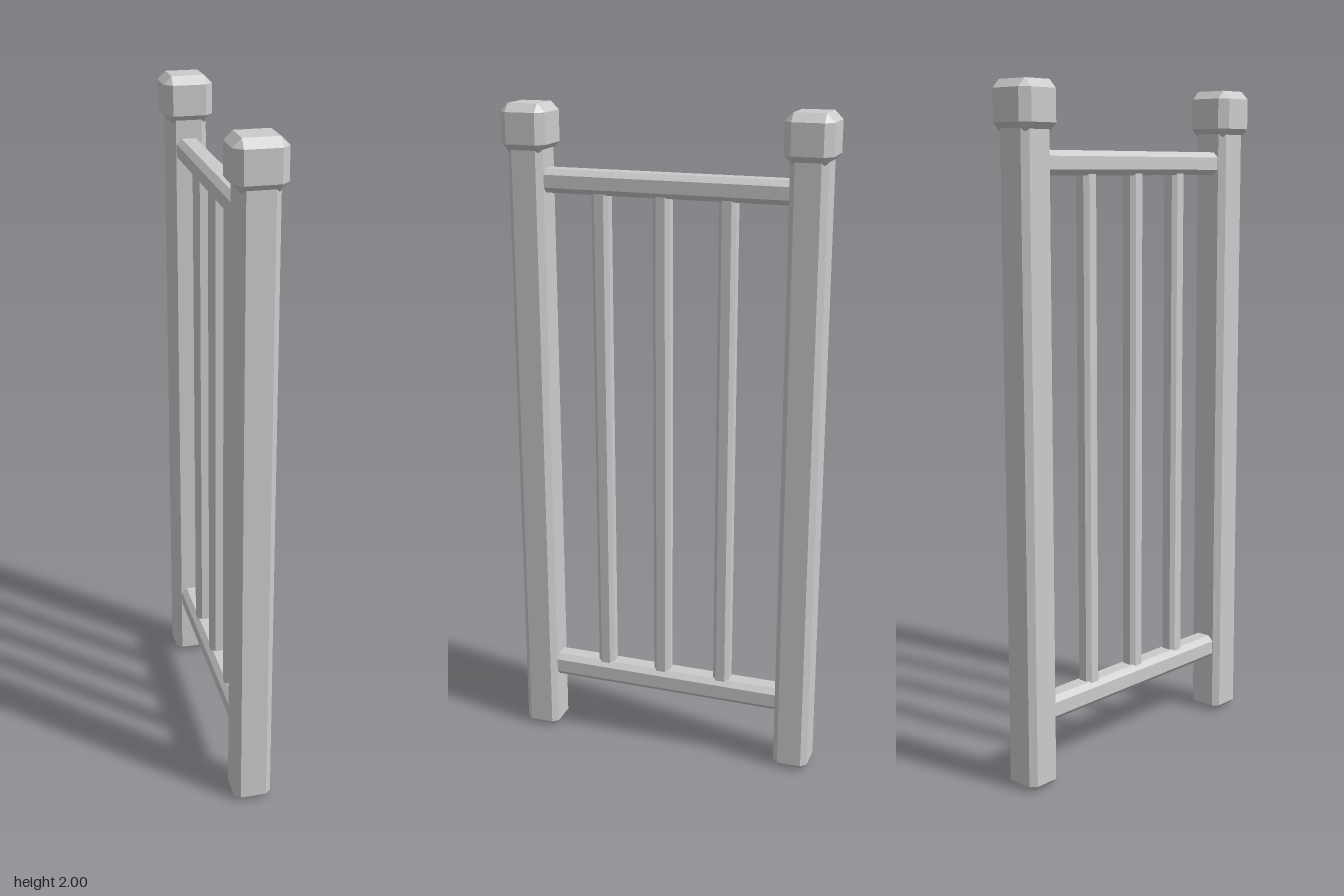
import * as THREE from 'three';
import { ConvexGeometry } from 'three/addons/geometries/ConvexGeometry.js';

const material = new THREE.MeshStandardMaterial({ color: 0xcccccc, flatShading: true });

// Box with every edge and corner cut off by a flat bevel
function bevelledBox(name, size, bevel, position) {
  const half = size.map((s) => s / 2);
  const points = [];
  for (const sx of [-1, 1]) for (const sy of [-1, 1]) for (const sz of [-1, 1]) {
    const sign = [sx, sy, sz];
    for (let outer = 0; outer < 3; outer++) {
      points.push(new THREE.Vector3(
        ...half.map((h, axis) => sign[axis] * (axis === outer ? h : h - bevel))));
    }
  }
  const mesh = new THREE.Mesh(new ConvexGeometry(points), material);
  mesh.name = name;
  mesh.position.set(...position);
  return mesh;
}

export function createModel() {
  const model = new THREE.Group();
  model.name = 'railing';

  // Two posts with block caps
  for (const [end, side] of [['front', 1], ['back', -1]]) {
    const z = side * 0.418;
    model.add(bevelledBox(end + 'Post', [0.112, 1.89, 0.108], 0.017, [0, 0.945, z]));
    model.add(bevelledBox(end + 'PostCap', [0.147, 0.138, 0.139], 0.024, [0, 1.931, z]));
  }

  // Horizontal rails, their ends set into the posts
  model.add(bevelledBox('topRail', [0.075, 0.069, 0.78], 0.016, [0, 1.781, 0]));
  model.add(bevelledBox('bottomRail', [0.075, 0.073, 0.78], 0.016, [0, 0.219, 0]));

  // Upright balusters between the rails
  [0.2, 0.013, -0.183].forEach((z, i) => {
    model.add(bevelledBox('baluster' + (i + 1), [0.052, 1.56, 0.052], 0.012, [0, 1, z]));
  });

  return model;
}
